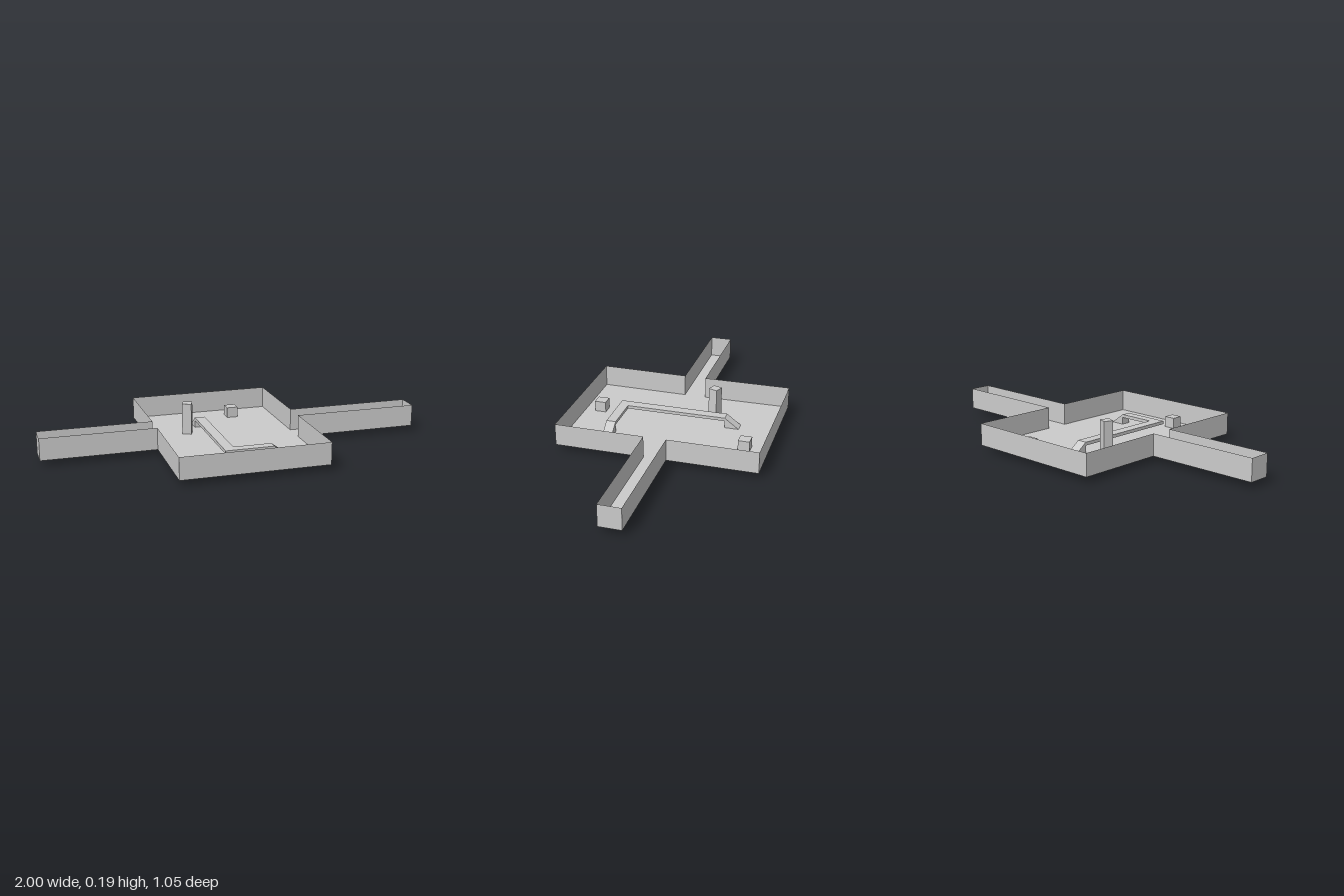
import * as THREE from 'three';

const FLOOR = 0.03, RIM = 0.145;

export function createModel() {
  const group = new THREE.Group();
  const solid = new THREE.MeshStandardMaterial({ color: 0xcccccc, flatShading: true });
  const thin = new THREE.MeshStandardMaterial({ color: 0xcccccc, flatShading: true, side: THREE.DoubleSide });

  const add = (name, geometry, material = solid, parent = group) => {
    const mesh = new THREE.Mesh(geometry, material);
    mesh.name = name;
    parent.add(mesh);
    return mesh;
  };

  // Plan outline (x, z): wide tray with a narrow channel on each side
  const a = 0.058, d = 0.524;
  const outline = [
    [-0.415, -d], [0.343, -d], [0.343, -a], [1, -a], [1, a], [0.343, a],
    [0.343, d], [-0.415, d], [-0.41, a], [-1, a], [-1, -a], [-0.41, -a],
  ];

  // Floor sheet
  const plan = new THREE.Shape(outline.map(([x, z]) => new THREE.Vector2(x, -z)));
  add('floor', new THREE.ShapeGeometry(plan).rotateX(-Math.PI / 2), thin).position.y = FLOOR;

  // One thin upright wall along each outline edge
  const walls = new THREE.Group();
  walls.name = 'walls';
  group.add(walls);
  outline.forEach(([x0, z0], i) => {
    const [x1, z1] = outline[(i + 1) % outline.length];
    const wall = add('wall', new THREE.PlaneGeometry(Math.hypot(x1 - x0, z1 - z0), RIM - FLOOR), thin, walls);
    wall.position.set((x0 + x1) / 2, (FLOOR + RIM) / 2, (z0 + z1) / 2);
    wall.rotation.y = -Math.atan2(z1 - z0, x1 - x0);
  });

  // Box given its centre in plan, size and height range
  const block = (name, x, z, sx, sz, y0, y1) => {
    const mesh = add(name, new THREE.BoxGeometry(sx, y1 - y0, sz));
    mesh.position.set(x, (y0 + y1) / 2, z);
    return mesh;
  };

  // Turned post passing through the floor, and two loose cubes
  block('post', -0.197, -0.168, 0.049, 0.049, 0, 0.195).rotation.y = -0.37;
  block('backCube', 0.115, -0.403, 0.06, 0.06, 0.026, 0.086);
  block('frontCube', -0.109, 0.439, 0.06, 0.06, 0.026, 0.086);

  // Raised L-shaped walkway
  const top = 0.085, under = 0.068, foot = 0.026;
  const deck = new THREE.Shape([
    [-0.134, 0.25], [-0.134, -0.332], [0.118, -0.332],
    [0.118, -0.282], [-0.08, -0.282], [-0.08, 0.25],
  ].map(([x, y]) => new THREE.Vector2(x, y)));
  add('walkwayDeck', new THREE.ExtrudeGeometry(deck, { depth: top - under, bevelEnabled: false })
    .rotateX(-Math.PI / 2)).position.y = under;

  // Wedge ramps leading down from each end of the walkway (slope runs along local +x)
  const ramp = (name, x, z, width, turn) => {
    const side = new THREE.Shape();
    side.moveTo(0, foot).lineTo(0.08, foot).lineTo(0, top).closePath();
    const mesh = add(name, new THREE.ExtrudeGeometry(side, { depth: width, bevelEnabled: false })
      .translate(0, 0, -width / 2));
    mesh.position.set(x, 0, z);
    mesh.rotation.y = turn;
  };
  ramp('backRamp', -0.107, -0.25, 0.054, Math.PI / 2);
  ramp('sideRamp', 0.118, 0.307, 0.05, 0);

  return group;
}
